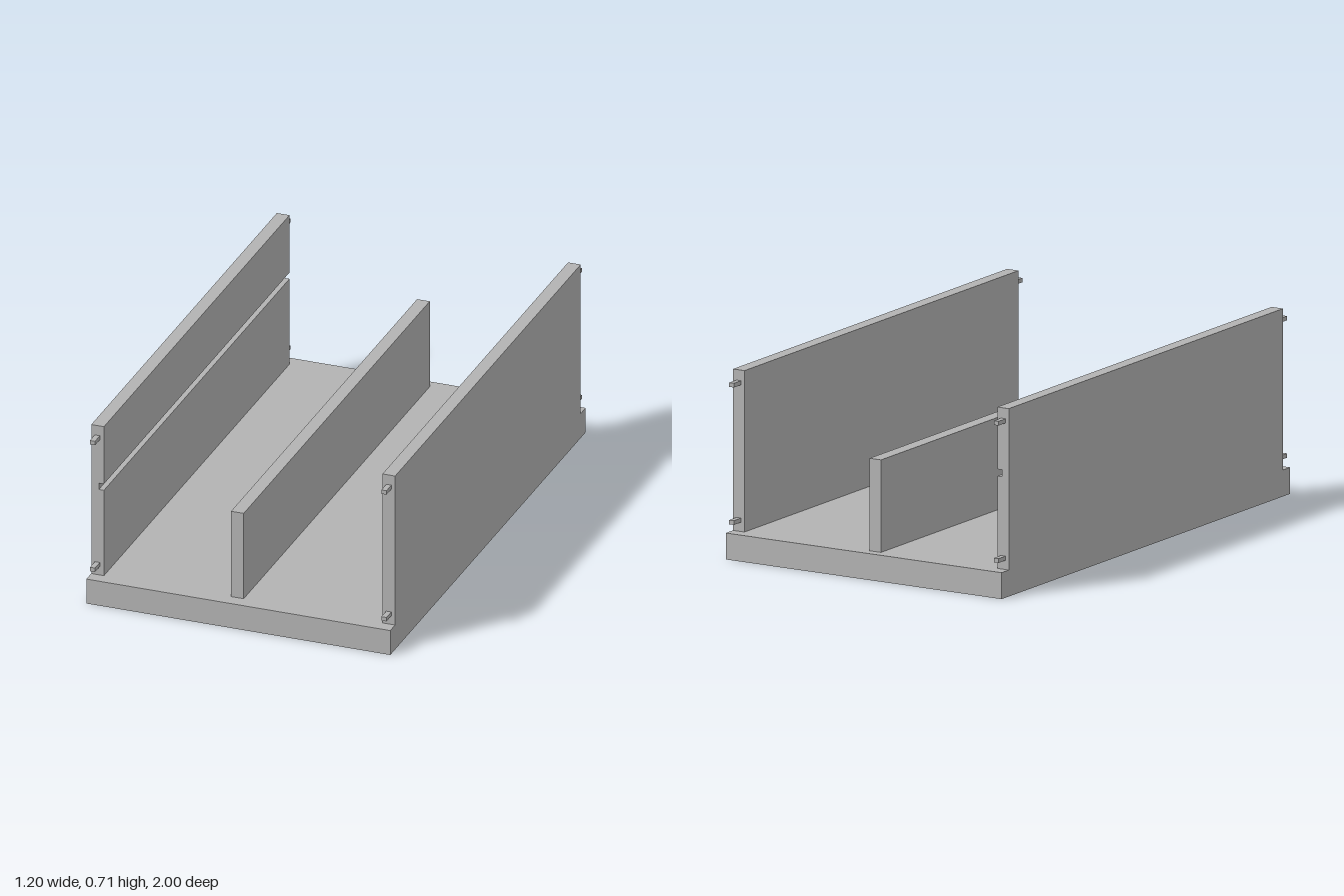
import * as THREE from 'three';

export function createModel() {
  const model = new THREE.Group();
  model.name = 'slottedTray';
  const grey = new THREE.MeshStandardMaterial({ color: 0xb2b2b2 });
  grey.name = 'plain grey';

  // Box given by its minimum and maximum corners
  function box(name, [x0, y0, z0], [x1, y1, z1]) {
    const mesh = new THREE.Mesh(new THREE.BoxGeometry(x1 - x0, y1 - y0, z1 - z0), grey);
    mesh.position.set((x0 + x1) / 2, (y0 + y1) / 2, (z0 + z1) / 2);
    mesh.name = name;
    model.add(mesh);
  }

  const floor = 0.1, top = 0.711, wallEnd = 0.95;

  // Base slab, plain left wall and low divider
  box('base', [-0.6, 0, -1], [0.6, floor, 1]);
  box('leftWall', [0.55, floor, -wallEnd], [0.6, top, wallEnd]);
  box('divider', [-0.05, floor, -0.96], [0, 0.45, 0.945]);

  // Right wall: cross-section with a groove on the inner face, extruded along z
  const section = new THREE.Shape([
    [-0.6, floor], [-0.55, floor], [-0.55, 0.45], [-0.57, 0.45],
    [-0.57, 0.476], [-0.55, 0.476], [-0.55, top], [-0.6, top],
  ].map(([x, y]) => new THREE.Vector2(x, y)));
  const rightWall = new THREE.Mesh(
    new THREE.ExtrudeGeometry(section, { depth: 2 * wallEnd, bevelEnabled: false }), grey);
  rightWall.position.z = -wallEnd;
  rightWall.name = 'rightWall';
  model.add(rightWall);

  // Small pegs on both ends of both walls
  for (const x of [-0.576, 0.575])
    for (const y of [0.143, 0.663])
      for (const z of [-1, wallEnd])
        box('peg', [x - 0.01, y - 0.008, z], [x + 0.01, y + 0.008, z + 0.05]);

  return model;
}
